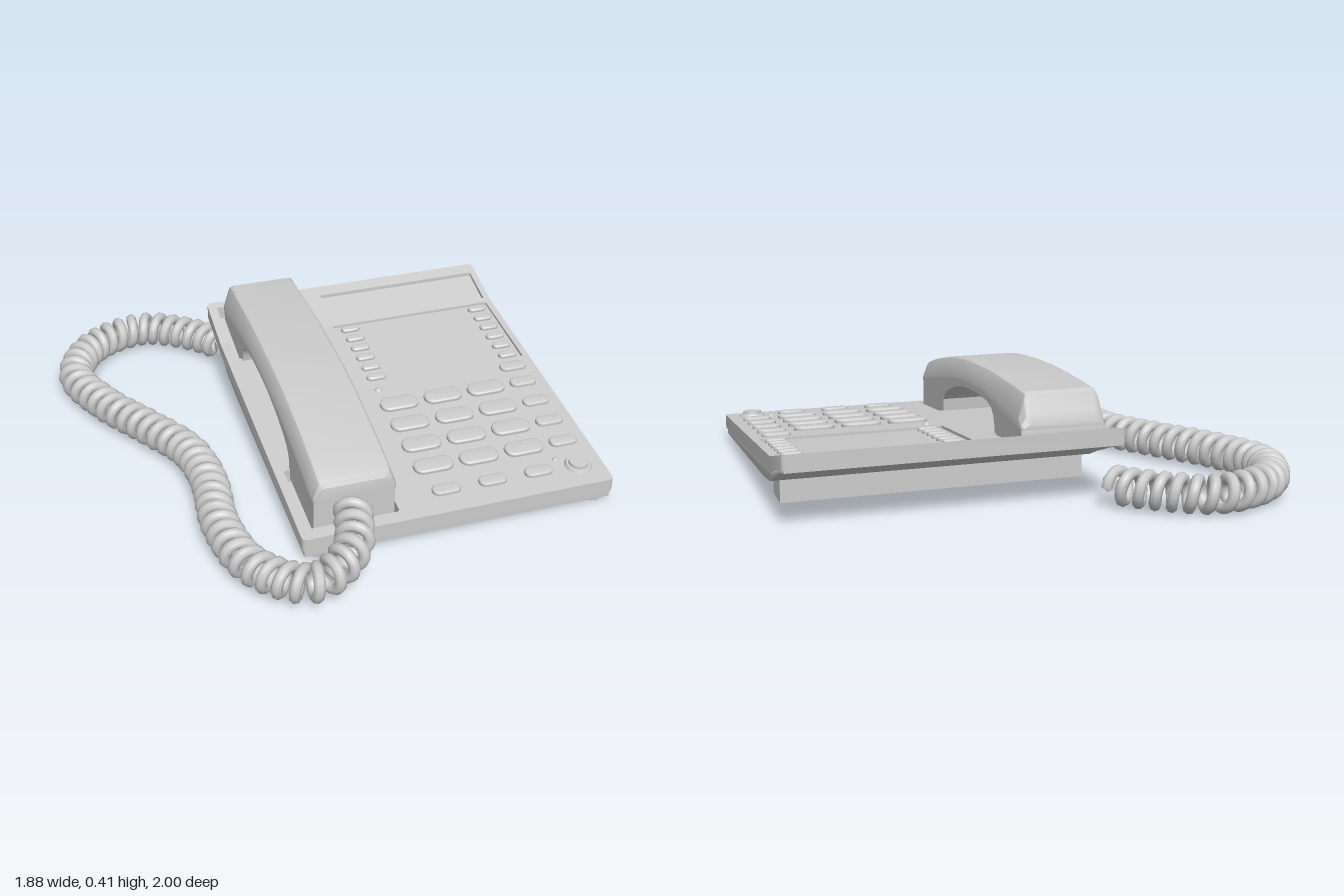
import * as THREE from 'three';
import { toCreasedNormals } from 'three/addons/utils/BufferGeometryUtils.js';

const material = new THREE.MeshStandardMaterial({ color: 0xcccccc });
const LEFT = 0.934, RIGHT = -0.282, FRONT = 0.706, BACK = -0.712, KINK = -0.48;
const SHELL = 0.055;

// Height of the sloping upper face at depth z
const topY = (z) => (z > KINK ? 0.097 + 0.1 * (FRONT - z) : 0.2156 + 0.27 * (KINK - z));

function add(parent, name, geometry, x = 0, y = 0, z = 0) {
  const mesh = new THREE.Mesh(geometry, material);
  mesh.name = name;
  mesh.position.set(x, y, z);
  parent.add(mesh);
  return mesh;
}

// Plan-view rectangle with rounded corners (shape y = -z)
function roundedRect(w, h, r, cx = 0, cz = 0, Type = THREE.Shape) {
  const s = new Type(), x = w / 2 - r, y = h / 2 - r;
  s.absarc(cx + x, -cz + y, r, 0, Math.PI / 2);
  s.absarc(cx - x, -cz + y, r, Math.PI / 2, Math.PI);
  s.absarc(cx - x, -cz - y, r, Math.PI, Math.PI * 1.5);
  s.absarc(cx + x, -cz - y, r, Math.PI * 1.5, Math.PI * 2);
  s.closePath();
  return s;
}

const hole = (x0, x1, z0, z1, r = 0.012) =>
  roundedRect(x1 - x0, z1 - z0, r, (x0 + x1) / 2, (z0 + z1) / 2, THREE.Path);

// Plan shape laid on the sloping face: spans topY - low to topY - high
function slopedSlab(shape, low, high) {
  const geo = new THREE.ExtrudeGeometry(shape, { depth: 1, bevelEnabled: false, curveSegments: 5 });
  geo.rotateX(-Math.PI / 2);
  const p = geo.attributes.position;
  for (let i = 0; i < p.count; i++) {
    const z = p.getZ(i);
    p.setY(i, topY(z) - low + p.getY(i) * (low - high));
  }
  return toCreasedNormals(geo, 0.5);
}

// Side profile of [z, y] points extruded from x0 to x1
function sideExtrude(points, x0, x1, bevel) {
  const shape = new THREE.Shape(points.map(([z, y]) => new THREE.Vector2(z, y)));
  const geo = new THREE.ExtrudeGeometry(shape, {
    depth: x1 - x0 - 2 * bevel, bevelEnabled: bevel > 0, bevelSize: bevel, bevelThickness: bevel,
    bevelOffset: -bevel, bevelSegments: 2,
  });
  geo.rotateY(-Math.PI / 2).translate(x1 - bevel, 0, 0);
  return toCreasedNormals(geo, 0.6);
}

// Pill-shaped button with a softened top
function pill(w, h, r, height) {
  const b = 0.009;
  const geo = new THREE.ExtrudeGeometry(roundedRect(w - 2 * b, h - 2 * b, r - b), {
    depth: height - b, bevelSize: b, bevelThickness: b, bevelSegments: 3, curveSegments: 6,
  });
  return toCreasedNormals(geo.rotateX(-Math.PI / 2), 0.6);
}

function addOnTop(parent, name, geometry, x, z, offset = 0) {
  add(parent, name, geometry, x, topY(z) + offset, z).rotation.x = Math.atan(0.1);
}

function buildBase() {
  const base = new THREE.Group();
  base.name = 'base';
  const r = 0.02;

  // Lower shell with the underside curling up at the back
  add(base, 'lowerShell', sideExtrude([
    [0.698, 0.014], [0.698, topY(0.698) - SHELL], [KINK, topY(KINK) - SHELL], [-0.703, topY(-0.703) - SHELL],
    [-0.703, 0.212], [-0.645, 0.2], [-0.6, 0.182], [-0.54, 0.158], [-0.475, 0.136], [-0.4, 0.105], [-0.26, 0.086],
  ], RIGHT + 0.008, LEFT - 0.008, 0.003));

  // Main upper panel, notched for the earpiece, open for the mouthpiece and index card
  const main = new THREE.Shape();
  main.moveTo(RIGHT, -KINK);
  main.lineTo(RIGHT, -FRONT + r);
  main.quadraticCurveTo(RIGHT, -FRONT, RIGHT + r, -FRONT);
  main.lineTo(LEFT - r, -FRONT);
  main.quadraticCurveTo(LEFT, -FRONT, LEFT, -FRONT + r);
  main.lineTo(LEFT, -KINK);
  main.lineTo(0.1, -KINK);
  main.lineTo(0.1, 0.36);
  main.lineTo(-0.245, 0.36);
  main.lineTo(-0.245, -KINK);
  main.closePath();
  main.holes.push(hole(-0.245, 0.1, 0.34, 0.655), hole(0.21, 0.908, -0.474, -0.075));
  add(base, 'upperPanel', slopedSlab(main, SHELL, 0));

  // Steeper back panel with display opening
  const back = new THREE.Shape();
  back.moveTo(RIGHT, -KINK);
  back.lineTo(-0.245, -KINK);
  back.lineTo(-0.245, 0.68);
  back.lineTo(0.1, 0.68);
  back.lineTo(0.1, -KINK);
  back.lineTo(LEFT, -KINK);
  back.lineTo(LEFT, -BACK - r);
  back.quadraticCurveTo(LEFT, -BACK, LEFT - r, -BACK);
  back.lineTo(RIGHT + r, -BACK);
  back.quadraticCurveTo(RIGHT, -BACK, RIGHT, -BACK - r);
  back.closePath();
  back.holes.push(hole(0.21, 0.908, -0.66, -0.5, 0.005));
  add(base, 'backPanel', slopedSlab(back, SHELL, 0));

  // Inset plates
  add(base, 'indexCard', slopedSlab(roundedRect(0.696, 0.397, 0.01, 0.559, -0.2745), 0.058, 0.01));
  add(base, 'display', slopedSlab(roundedRect(0.696, 0.158, 0.004, 0.559, -0.58), 0.058, 0.014));

  // Rear support bar and round front feet
  add(base, 'supportBar', new THREE.BoxGeometry(1.13, 0.1, 0.135), 0.326, 0.072, -0.333);
  const footGeo = new THREE.CylinderGeometry(0.04, 0.036, 0.03, 24);
  for (const x of [-0.222, 0.872]) add(base, 'foot', footGeo, x, 0.015, 0.655);
  return base;
}

function buildButtons() {
  const keys = new THREE.Group();
  keys.name = 'buttons';
  const large = pill(0.155, 0.076, 0.034, 0.016);
  const medium = pill(0.11, 0.054, 0.024, 0.014);
  const small = pill(0.078, 0.036, 0.016, 0.016);
  const columns = [0.303, 0.488, 0.673], rows = [0.085, 0.21, 0.335, 0.46];

  for (const x of columns) {
    for (const z of rows) addOnTop(keys, 'dialKey', large, x, z);
    addOnTop(keys, 'functionKey', medium, x, 0.595);
  }
  for (const z of [-0.02, ...rows]) addOnTop(keys, 'sideKey', medium, 0.836, z);
  for (let i = 0; i < 6; i++)
    for (const x of [0.275, 0.853]) addOnTop(keys, 'memoryKey', small, x, -0.445 + i * 0.067, -0.011);

  // Round key with collar, and indicator lamps
  addOnTop(keys, 'roundKeyCollar', new THREE.CylinderGeometry(0.046, 0.053, 0.012, 32), 0.835, 0.6, 0.005);
  addOnTop(keys, 'roundKey', new THREE.CylinderGeometry(0.036, 0.039, 0.024, 32), 0.835, 0.6, 0.01);
  addOnTop(keys, 'lamp', new THREE.SphereGeometry(0.018, 16, 8), 0.253, -0.02, -0.008);
  addOnTop(keys, 'lamp', new THREE.SphereGeometry(0.013, 16, 8), 0.765, 0.548, -0.005);
  return keys;
}

function buildHandset() {
  const handset = new THREE.Group();
  handset.name = 'handset';
  // Stations along the handset: z, seam height, crown height, width factor
  const stations = [
    [0.648, 0.2, 0.262, 0.94], [0.638, 0.203, 0.28, 0.985], [0.615, 0.209, 0.291], [0.53, 0.23, 0.316],
    [0.41, 0.258, 0.344], [0.3, 0.282, 0.367], [0.2, 0.302, 0.384], [0.1, 0.316, 0.396], [0, 0.325, 0.404],
    [-0.2, 0.331, 0.413], [-0.33, 0.32, 0.414], [-0.5, 0.3, 0.411], [-0.605, 0.288, 0.407], [-0.62, 0.286, 0.398],
    [-0.643, 0.282, 0.335, 0.985], [-0.656, 0.28, 0.3, 0.95],
  ];
  // Half section: half width and fraction from seam to crown
  const half = [[0.158, 0], [0.157, 0.22], [0.138, 0.85], [0.132, 0.95], [0.12, 1]];
  const ring = [...half.map(([w, k]) => [-w, k]), ...half.slice().reverse()];
  const n = ring.length, pos = [], index = [];
  for (const [z, seam, crown, width = 1] of stations)
    for (const [x, k] of ring) pos.push(x * width, seam + (crown - seam) * k, z);
  for (let s = 0; s < stations.length - 1; s++)
    for (let i = 0; i < n; i++) {
      const a = s * n + i, b = s * n + ((i + 1) % n);
      index.push(a, b, a + n, b, b + n, a + n);
    }
  const last = (stations.length - 1) * n;
  for (let i = 1; i < n - 1; i++) index.push(0, i + 1, i, last, last + i, last + i + 1);
  const shell = new THREE.BufferGeometry();
  shell.setAttribute('position', new THREE.Float32BufferAttribute(pos, 3));
  shell.setIndex(index);
  add(handset, 'handsetUpperShell', toCreasedNormals(shell, 0.5));

  // Lower half: mouthpiece, arched grip and earpiece
  add(handset, 'handsetLowerShell', sideExtrude([
    ...stations.slice(1, -1).map(([z, seam]) => [z, seam + 0.004]),
    [-0.645, 0.28], [-0.64, 0.23], [-0.345, 0.165], [-0.342, 0.23], [-0.33, 0.262], [-0.305, 0.286], [-0.26, 0.299],
    [-0.18, 0.306], [-0.07, 0.304], [0.035, 0.296], [0.15, 0.273], [0.25, 0.241], [0.3, 0.214], [0.325, 0.185],
    [0.335, 0.095], [0.638, 0.065],
  ], -0.153, 0.153, 0));
  handset.position.x = -0.068;
  return handset;
}

// Helix wound around a guide curve
class CoilCurve extends THREE.Curve {
  constructor(guide, turns, radius) {
    super();
    Object.assign(this, { guide, turns, radius, arcLengthDivisions: 3000 });
  }
  getPoint(t, target = new THREE.Vector3()) {
    const tangent = this.guide.getTangentAt(t);
    const side = new THREE.Vector3().crossVectors(tangent, new THREE.Vector3(0, 1, 0)).normalize();
    const up = new THREE.Vector3().crossVectors(side, tangent);
    const a = t * this.turns * Math.PI * 2;
    return target.copy(this.guide.getPointAt(t))
      .addScaledVector(side, Math.cos(a) * this.radius).addScaledVector(up, Math.sin(a) * this.radius);
  }
}

function buildCord() {
  const guide = new THREE.CatmullRomCurve3([
    [-0.235, 0.075, -0.71], [-0.315, 0.075, -0.8], [-0.53, 0.075, -0.927], [-0.765, 0.075, -0.84],
    [-0.87, 0.075, -0.63], [-0.79, 0.075, -0.39], [-0.66, 0.075, -0.18], [-0.54, 0.075, 0.03],
    [-0.51, 0.075, 0.24], [-0.53, 0.075, 0.51], [-0.475, 0.08, 0.77], [-0.305, 0.1, 0.93],
    [-0.15, 0.135, 0.85], [-0.075, 0.165, 0.64],
  ].map((p) => new THREE.Vector3(...p)));
  const cord = new THREE.Group();
  cord.name = 'cord';
  add(cord, 'coiledCord', new THREE.TubeGeometry(new CoilCurve(guide, 52, 0.052), 1250, 0.021, 8));
  // Plug where the cord meets the base
  add(cord, 'cordPlug', new THREE.BoxGeometry(0.04, 0.04, 0.05), -0.235, 0.07, -0.69);
  return cord;
}

export function createModel() {
  const model = new THREE.Group();
  model.name = 'deskTelephone';
  model.add(buildBase(), buildButtons(), buildHandset(), buildCord());
  return model;
}
